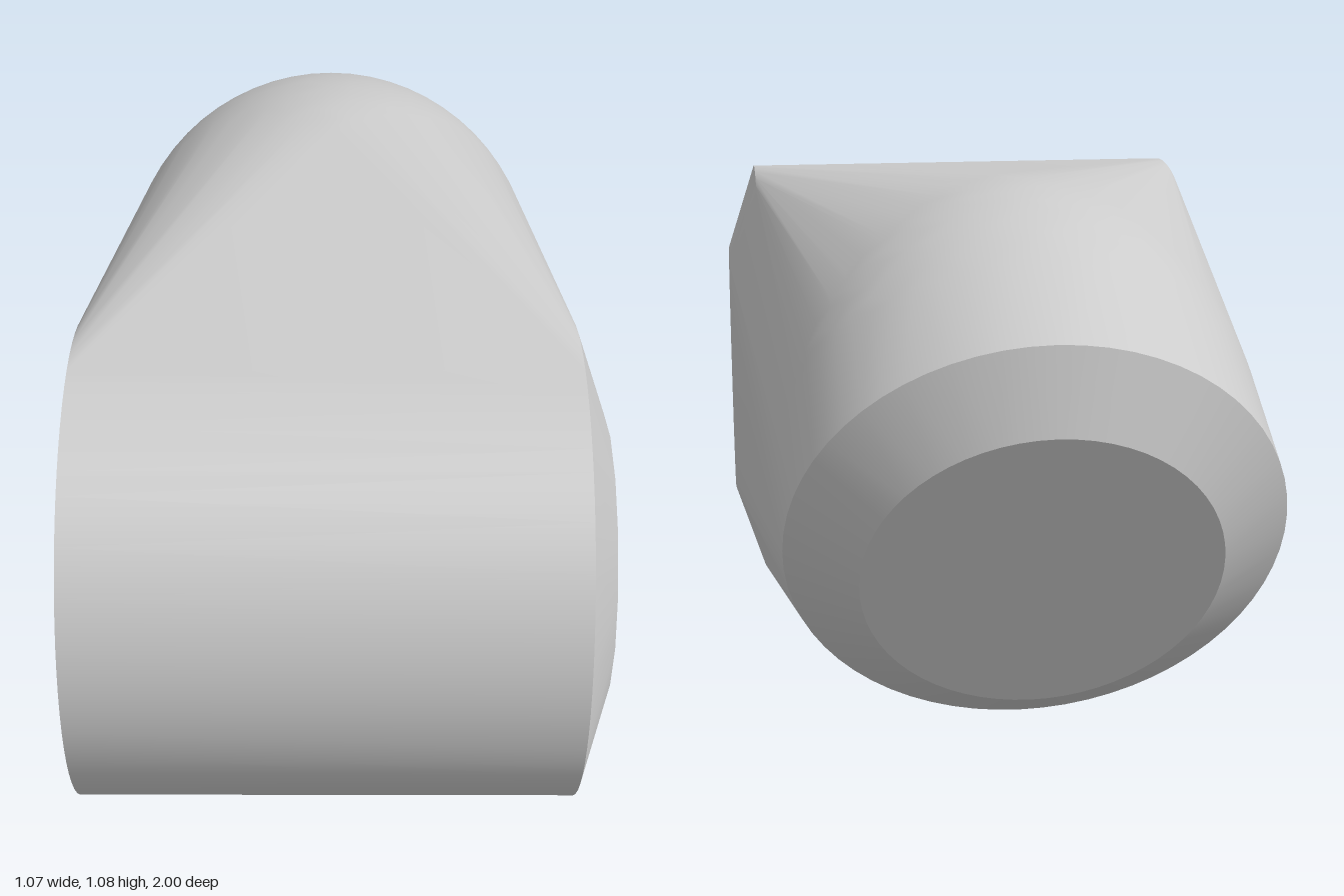
import * as THREE from 'three';
import { ConvexGeometry } from 'three/addons/geometries/ConvexGeometry.js';
import { toCreasedNormals } from 'three/addons/utils/BufferGeometryUtils.js';

const SEGMENTS = 64;
const RADIUS = 0.49;
const MID_X = -0.033;

// Circle of points around a centre, spanned by two unit directions
function ring(center, u, v, radius, segments = SEGMENTS) {
  return Array.from({ length: segments }, (_, i) => {
    const a = (i / segments) * Math.PI * 2;
    return center.clone()
      .addScaledVector(u, Math.cos(a) * radius)
      .addScaledVector(v, Math.sin(a) * radius);
  });
}

export function createModel() {
  const X = new THREE.Vector3(1, 0, 0);
  const Y = new THREE.Vector3(0, 1, 0);
  const Z = new THREE.Vector3(0, 0, 1);
  const points = [];

  // Sideways front barrel, bevelled at its +x end
  for (const [x, r, n] of [[-0.533, RADIUS, SEGMENTS], [0.467, RADIUS, SEGMENTS], [0.533, 0.297, 16]]) {
    points.push(...ring(new THREE.Vector3(x, 0.49, 0.51), Y, Z, r, n));
  }

  // Elbow whose rings swing about a sideways axis down towards the back
  const tilt = THREE.MathUtils.degToRad(26);
  const bendRadius = 0.42;
  const steps = 12;
  for (let i = 0; i <= steps; i++) {
    const a = THREE.MathUtils.lerp(-0.2, tilt, i / steps);
    const up = new THREE.Vector3(0, Math.cos(a), -Math.sin(a));
    const center = new THREE.Vector3(MID_X, 0.17, -0.35).addScaledVector(up, bendRadius);
    points.push(...ring(center, X, up, RADIUS));
  }

  // Slanted rear end: full-width rim, then the smaller bevelled cap
  const rearUp = new THREE.Vector3(0, Math.cos(tilt), -Math.sin(tilt));
  points.push(...ring(new THREE.Vector3(MID_X, 0.44, -0.76), X, rearUp, RADIUS));
  points.push(...ring(new THREE.Vector3(MID_X, 0.3975, -0.845), X, rearUp, 0.35));

  // One taut skin around barrel, elbow and rear end
  const geometry = toCreasedNormals(new ConvexGeometry(points), 0.25);
  const body = new THREE.Mesh(geometry, new THREE.MeshStandardMaterial({ color: 0xcccccc }));
  body.name = 'elbowBody';

  const model = new THREE.Group();
  model.name = 'bevelledElbow';
  model.add(body);
  return model;
}
